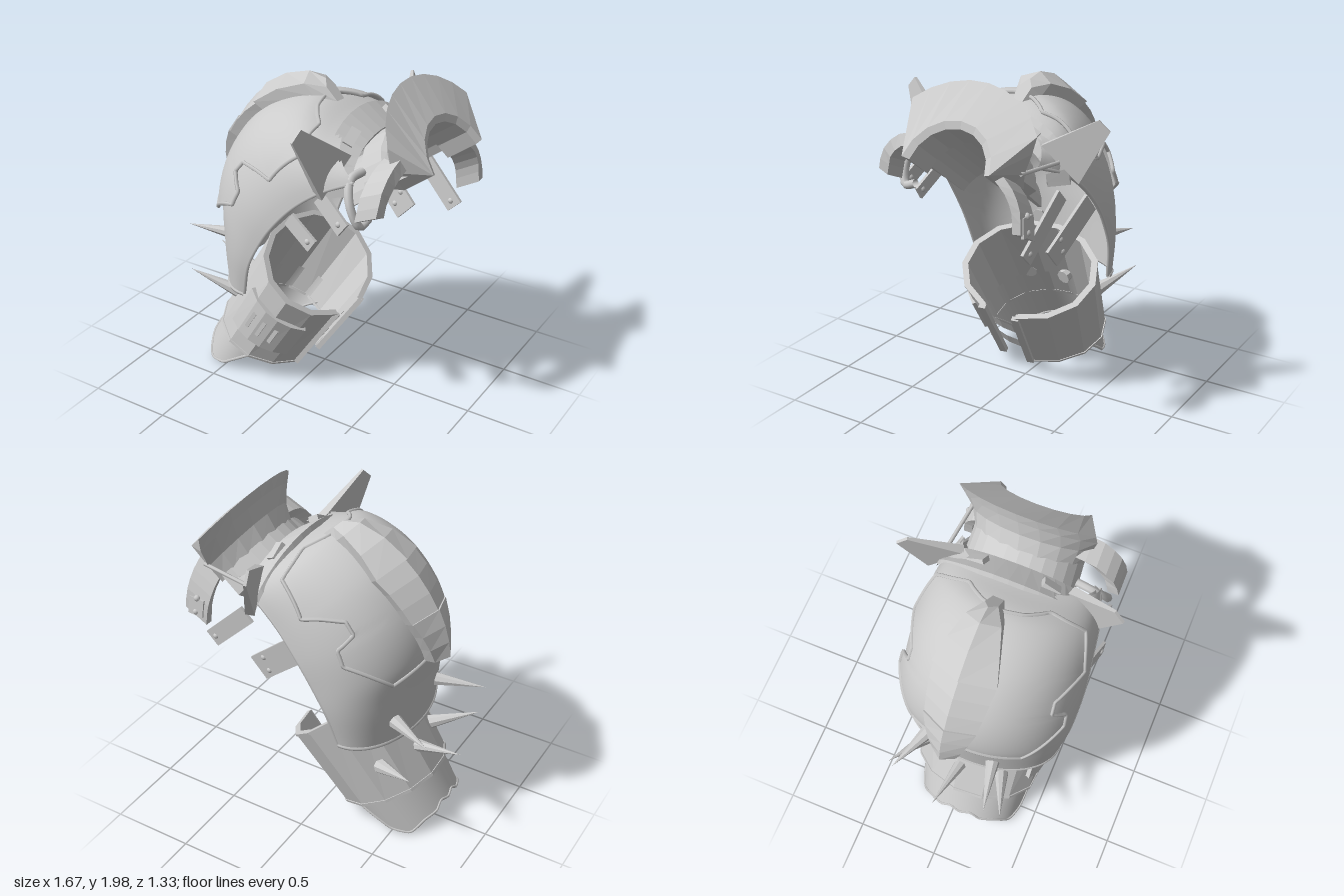
import * as THREE from 'three';

const V = (x, y, z) => new THREE.Vector3(x, y, z);
const smooth = new THREE.MeshStandardMaterial({ color: 0xcccccc, side: THREE.DoubleSide });
const flat = new THREE.MeshStandardMaterial({ color: 0xcccccc, side: THREE.DoubleSide, flatShading: true });
const RAD = Math.PI / 180, { lerp, clamp } = THREE.MathUtils;

// Piecewise linear lookup in [[key, value], ...]
function table(rows, k) {
  if (k <= rows[0][0]) return rows[0][1];
  for (let i = 1; i < rows.length; i++) {
    const [a, p] = rows[i - 1], [b, q] = rows[i];
    if (k <= b) return lerp(p, q, (k - a) / (b - a));
  }
  return rows[rows.length - 1][1];
}

// Surface from fn(s, t), both 0..1
function loft(fn, ns, nt) {
  const pos = [], idx = [], w = nt + 1;
  for (let i = 0; i <= ns; i++) for (let j = 0; j <= nt; j++) {
    pos.push(...fn(i / ns, j / nt).toArray());
    if (i && j) {
      const d = i * w + j, c = d - 1, b = d - w, a = b - 1;
      idx.push(a, c, b, b, c, d);
    }
  }
  const g = new THREE.BufferGeometry();
  g.setAttribute('position', new THREE.Float32BufferAttribute(pos, 3));
  g.setIndex(idx);
  g.computeVertexNormals();
  return g;
}

// Tube along points given by fn(0..1)
function rim(fn, n, r) {
  const pts = [];
  for (let i = 0; i <= n; i++) pts.push(fn(i / n));
  return new THREE.TubeGeometry(new THREE.CatmullRomCurve3(pts), n * 2, r, 5);
}

// Bent flat strip along points, w = half width vector, narrowing to the given end scale
function ribbon(pts, w, thick, endScale = 1) {
  const curve = new THREE.CatmullRomCurve3(pts), n = pts.length > 2 ? 6 : 1;
  const corners = [[1, 1], [-1, 1], [-1, -1], [1, -1], [1, 1]];
  return loft((s, t) => {
    const i = Math.round(s * (n + 2)), k = clamp((i - 1) / n, 0, 1);
    const p = curve.getPoint(k);
    if (i === 0 || i === n + 2) return p;
    const nor = curve.getTangent(k).cross(w).normalize(), size = lerp(1, endScale, k);
    const [a, b] = corners[Math.round(t * 4)];
    return p.addScaledVector(w, a * size).addScaledVector(nor, b * size * thick / 2);
  }, n + 2, 4);
}

// Shoulder shell sections: outer mid line, side edge line (z = half width)
const outer = new THREE.CatmullRomCurve3([V(.22, 1.75, 0), V(0, 1.81, 0), V(-.28, 1.72, 0), V(-.48, 1.5, 0),
  V(-.565, 1.25, 0), V(-.545, 1, 0), V(-.515, .68, 0)]);
const edge = new THREE.CatmullRomCurve3([V(.46, 1.57, .42), V(.3, 1.5, .48), V(.14, 1.38, .51), V(0, 1.22, .53),
  V(-.09, 1.08, .53), V(-.17, .92, .52), V(-.23, .7, .485)]);
function shellPoint(u, deg, off = 0) {
  const o = outer.getPoint(u / 6), e = edge.getPoint(u / 6), hw = e.z + off;
  e.z = 0;
  o.addScaledVector(o.clone().sub(e).normalize(), off);
  const p = e.lerp(o, Math.cos(deg * RAD));
  p.z = .04 + hw * Math.sin(deg * RAD);
  return p;
}

// Collar arch: k 0 outer edge .. 1 inner edge
function collarPoint(k, deg, drop = 0) {
  const c = Math.cos(deg * RAD), s = Math.sin(deg * RAD);
  return V(lerp(lerp(.31, .42, k), lerp(.22, .37, k), c) - drop * .5,
    lerp(lerp(1.46, 1.47, k), lerp(1.79, 1.69, k), c) - drop, lerp(.47, .39, k) * s);
}

// Forearm guard: t 0 bottom .. 1 top, deg 0 faces +x
function guardPoint(t, deg, off = 0) {
  const c = Math.cos(deg * RAD), s = Math.sin(deg * RAD), k = 1 + off / .36;
  return V(lerp(-.34, -.04, t) + lerp(.29, .26, t) * c * k, lerp(.215, .71, t) - lerp(.125, .21, t) * c * k,
    lerp(.045, 0, t) + lerp(.39, .45, t) * s * k);
}

// Neck guard: profile of [along axis, radius], swept between angle limits that depend on radius
const UP = V(-.61, .79, 0), AXIS = V(.79, .61, 0);
function neckSweep(profile, back, front, steps) {
  const shape = new THREE.Shape(profile.map(p => new THREE.Vector2(...p)));
  const g = new THREE.ExtrudeGeometry(shape, { depth: 1, steps, bevelEnabled: false });
  const a = g.attributes.position;
  for (let i = 0; i < a.count; i++) {
    const r = a.getY(i), phi = lerp(-table(back, r), table(front, r), a.getZ(i)) * RAD;
    const p = V(.82, 1.585, -.02).addScaledVector(AXIS, a.getX(i)).addScaledVector(UP, r * Math.cos(phi));
    a.setXYZ(i, p.x, p.y, p.z + r * Math.sin(phi));
  }
  g.computeVertexNormals();
  return g;
}

export function createModel() {
  const group = new THREE.Group();
  const add = (name, geo, mat = flat) => {
    const m = new THREE.Mesh(geo, mat);
    m.name = name;
    group.add(m);
    return m;
  };

  // Main shell, outside and lining, with thin rolled edges
  for (const off of [0, -.018])
    add('shoulderShell', loft((s, t) => shellPoint(s * 6, lerp(-90, 90, t), off), 36, 32), smooth);
  for (const a of [-90, 90]) add('shellSideRim', rim(s => shellPoint(s * 6, a, -.009), 24, .012), smooth);
  add('shellBottomRim', rim(s => shellPoint(6, lerp(-90, 90, s), -.005), 24, .014), smooth);

  // Upper plate with notched outline
  const reach = [[.45, 50], [.85, 59], [2, 70], [2.2, 61], [2.5, 50], [2.8, 50], [2.97, 62], [3.4, 63], [4.4, 37]];
  const top = [[0, .8], [.25, .72], [.6, .45], [1, .95]];
  const plate = (s, t) => {
    const u = lerp(table(top, Math.abs(s)), 4.1 + .3 * Math.abs(s), t);
    return shellPoint(u, s * table(reach, u), .028);
  };
  add('upperPlate', loft((t, s) => plate(s * 2 - 1, t), 70, 24), smooth);
  for (const s of [-1, 1]) add('plateSideRim', rim(t => plate(s, t), 60, .012), smooth);
  for (const t of [0, 1]) add('plateEndRim', rim(s => plate(s * 2 - 1, t), 24, .012), smooth);

  // Crest: three thick folded plates in a row
  const crestWidth = [[.5, 4], [1.2, 12], [2.1, 19], [3.15, 15], [4.2, 7]];
  const fold = [[-1, .02], [-1, .075], [0, .125], [1, .075], [1, .02], [0, .02]];
  [[.5, 2.12, .045, .02], [2.12, 3.16, .005, .015], [3.16, 4.2, .025, .03]].forEach(([u0, u1, lift0, lift1]) => {
    add('crestPlate', loft((s, t) => {
      const i = Math.round(s * 5), k = clamp((i - 1) / 3, 0, 1), u = lerp(u0, u1, k);
      const [f, h] = fold[Math.round(t * 5)];
      const low = i === 0 || i === 5 || h < .03;
      return shellPoint(u, f * table(crestWidth, u) - 6, low ? .02 : h + lerp(lift0, lift1, k));
    }, 5, 5));
  });

  // Collar flange, blocks and side fins
  const collarRows = [[0, 0], [1, 0], [1, .03], [0, .03], [0, 0]];
  add('collarFlange', loft((s, t) => {
    const [k, drop] = collarRows[Math.round(s * 4)];
    return collarPoint(k, lerp(-88, 88, t), drop);
  }, 4, 16));
  for (const a of [-30, 30]) {
    const b = add('collarBlock', new THREE.BoxGeometry(.06, .04, .11));
    b.position.copy(collarPoint(.5, a));
    b.rotation.set(a * RAD, 0, -.55);
  }
  for (const s of [-1, 1])
    add('collarFin', ribbon([V(.32, 1.56, s * .42), V(.22, s > 0 ? 1.85 : 1.78, s * .63)], V(.03, .1, -s * .1), .055, .3));

  // Neck guard: flared lip and inner channel
  add('neckLip', neckSweep([[0, .53], [.04, .28], [.02, .24], [-.2, .25], [-.24, .34], [-.13, .39], [-.05, .47]],
    [[.28, 86], [.53, 58]], [[.28, 84], [.53, 45]], 8));
  add('neckChannel', neckSweep([[.02, .27], [-.1, .34], [-.36, .355], [-.42, .285], [-.6, .28], [-.6, .26], [.02, .245]],
    [[0, 74]], [[0, 74]], 12));

  // Bent straps and curved buckle at the neck
  add('frontBentStrap', ribbon([V(.62, 1.66, .26), V(.62, 1.63, .38), V(.61, 1.54, .48), V(.6, 1.42, .52)], V(.065, .03, 0), .07));
  add('backBentStrap', ribbon([V(.69, 1.57, -.28), V(.7, 1.49, -.37), V(.71, 1.39, -.42), V(.72, 1.27, -.43)], V(.07, .04, 0), .05));
  add('buckleLoop', new THREE.TubeGeometry(new THREE.CatmullRomCurve3([V(.44, 1.58, .32), V(.43, 1.57, .43),
    V(.47, 1.46, .5), V(.52, 1.34, .48), V(.53, 1.36, .4)]), 20, .025, 8), smooth);
  add('backTieRod', new THREE.TubeGeometry(new THREE.LineCurve3(V(.36, 1.58, -.43), V(.68, 1.6, -.39)), 1, .012, 6), smooth);

  // Flat riveted straps: start, end, half width, rivet positions
  const straps = [
    [V(.05, 1.265, -.46), V(.34, 1, -.38), .08, [[.72, .55], [.8, -.5]]],
    [V(.36, 1.4, -.45), V(.65, 1.11, -.4), .055, [[.9, 0]]],
    [V(.27, 1.45, .48), V(.45, 1.32, .53), .05, [[.82, 0]]],
    [V(.11, 1.3, .54), V(.28, 1.19, .57), .045, [[.82, 0]]],
    [V(.71, 1.39, -.445), V(.72, 1.28, -.455), .05, [[0, 0], [.8, 0]]],
  ];
  for (const [a, b, hw, rivets] of straps) {
    const d = b.clone().sub(a), w = V(-d.y, d.x, 0).normalize().multiplyScalar(hw);
    add('strap', ribbon([a, b], w, .018));
    for (const [k, side] of rivets)
      add('rivet', new THREE.SphereGeometry(.02, 10, 6), smooth).position.copy(a).addScaledVector(d, k).addScaledVector(w, side);
  }

  // Forearm guard, open at the inner side
  const G0 = 24, G1 = 352;
  for (const off of [0, -.025])
    add('forearmGuard', loft((s, t) => guardPoint(s, lerp(G0, G1, t), off), 1, 12));
  const band = [[-.015, -.028], [-.015, .006], [.015, .006], [.015, -.028], [-.015, -.028]];
  for (const t of [0, 1])
    add('guardRim', loft((s, k) => {
      const [dt, off] = band[Math.round(s * 4)];
      return guardPoint(t + dt, lerp(G0, G1, k), off);
    }, 4, 12));
  for (const a of [G0, G1])
    add('guardEdgeBar', ribbon([guardPoint(0, a), guardPoint(1, a)], V(.004, 0, .022), .03));
  for (const t of [.22, .55])
    add('guardCrossStrap', loft((s, k) => guardPoint(t + s * .16, lerp(-12, 28, k), -.03), 1, 3));

  // Raised panel with three slots
  add('slotPanel', loft((s, t) => {
    const i = Math.round(s * 3), j = Math.round(t * 7);
    const off = j === 0 || j === 7 || i === 0 || i === 3 ? -.01 : .016;
    return guardPoint(i < 2 ? .24 : .74, lerp(46, 118, clamp((j - 1) / 5, 0, 1)), off);
  }, 3, 7));
  for (const a of [70, 84, 98])
    add('panelSlot', ribbon([guardPoint(.38, a, .014), guardPoint(.6, a, .014)], V(.01, -.007, 0), .014));

  // Scalloped cuff below the guard
  const drop = [[0, -.32], [12, -.29], [22, -.35], [40, -.37], [62, -.46], [80, -.38], [98, -.1], [108, .05]];
  const cuff = (s, t) => {
    const a = lerp(-108, 108, s);
    return guardPoint(lerp(.3, table(drop, Math.abs(a)), t), 180 + a, -.03);
  };
  add('cuff', loft((t, s) => cuff(s, t), 4, 40), smooth);
  add('cuffRim', rim(s => cuff(s, 1), 40, .009), smooth);

  // Spikes on the outer side
  const spikes = [
    [V(-.48, .87, .2), V(-.81, .88, .27)], [V(-.47, .83, -.22), V(-.75, .81, -.34)],
    [V(-.46, .5, 0), V(-.83, .61, -.06)], [V(-.45, .49, .24), V(-.75, .62, .35)], [V(-.41, .49, -.26), V(-.68, .6, -.41)],
  ];
  for (const [base, tip] of spikes) {
    const d = tip.clone().sub(base);
    const m = add('spike', new THREE.ConeGeometry(.046, d.length(), 8));
    m.position.copy(base).addScaledVector(d, .5);
    m.quaternion.setFromUnitVectors(V(0, 1, 0), d.normalize());
  }
  return group;
}
